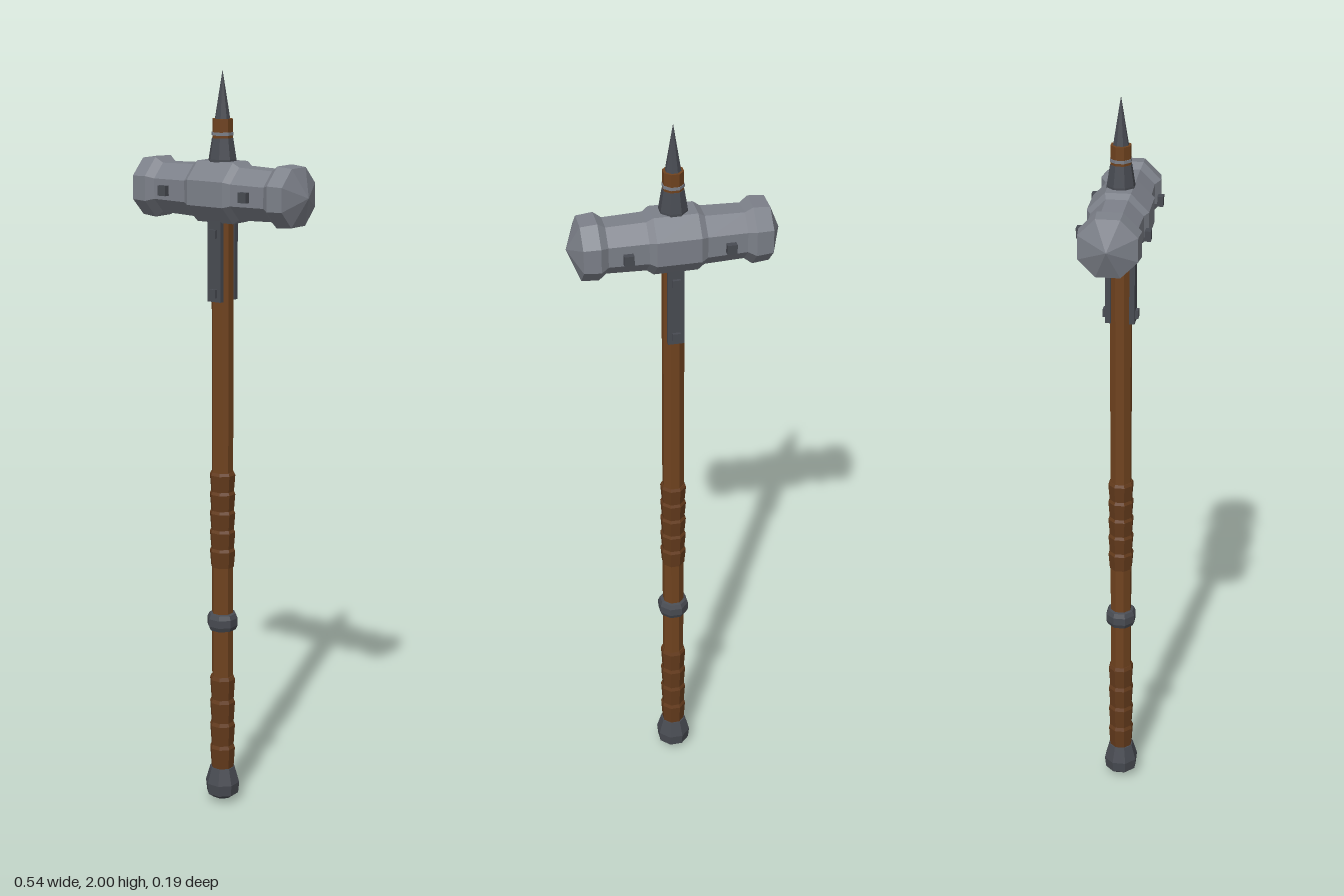
import * as THREE from 'three';

export function createModel() {
  const model = new THREE.Group();
  const material = (name, color) => {
    const m = new THREE.MeshStandardMaterial({ color, flatShading: true });
    m.name = name;
    return m;
  };
  const steel = material('steel', 0x7c8089);
  const iron = material('dark iron', 0x484b52);
  const wood = material('wood', 0x70431f);
  const leather = material('leather', 0x643b1c);

  const add = (name, geometry, mat, x = 0, y = 0, z = 0) => {
    const mesh = new THREE.Mesh(geometry, mat);
    mesh.name = name;
    mesh.position.set(x, y, z);
    model.add(mesh);
    return mesh;
  };
  // Octagonal turned part; profile is [distance to flat, height] from the bottom up
  const turned = (profile) => new THREE.LatheGeometry(
    profile.map(([r, y]) => new THREE.Vector2(r / Math.cos(Math.PI / 8), y)), 8, Math.PI / 8);

  // Shaft, running through the head
  add('shaft', turned([[0, 0.05], [0.027, 0.05], [0.027, 1.8], [0, 1.8]]), wood);

  // Wrapped grips with slightly flared bands
  const grip = (name, bottom, bands, step) => {
    const profile = [[0.026, bottom]];
    for (let i = 0; i < bands; i++) {
      const y = bottom + i * step;
      profile.push([0.029, y], [0.0325, y + step * 0.85], [0.029, y + step]);
    }
    profile.push([0.026, bottom + bands * step]);
    add(name, turned(profile), leather);
  };
  grip('lowerGrip', 0.10, 4, 0.067);
  grip('upperGrip', 0.68, 5, 0.053);

  // Pommel and middle ring
  add('pommel', turned([[0, 0], [0.026, 0.012], [0.041, 0.024], [0.044, 0.055],
    [0.032, 0.1], [0, 0.1]]), iron);
  add('middleRing', turned([[0.027, 0.5], [0.034, 0.502], [0.039, 0.514], [0.039, 0.535],
    [0.034, 0.547], [0.027, 0.549]]), iron);

  // Hammer head lying along x
  const half = [[0.078, 0.056], [0.067, 0.073], [0.064, 0.174], [0.078, 0.194],
    [0.074, 0.237], [0, 0.268]];
  const head = add('hammerHead', turned([
    ...half.map(([r, y]) => [r, -y]).reverse(), ...half]), steel, 0, 1.692, 0);
  head.rotation.z = -Math.PI / 2;

  // Straps, rivets and head studs on the front and back
  for (const side of [1, -1]) {
    add('strap', new THREE.BoxGeometry(0.042, 0.225, 0.014), iron, 0, 1.52, side * 0.031);
    for (const y of [1.43, 1.585]) {
      add('rivet', new THREE.BoxGeometry(0.02, 0.022, 0.01), iron, 0, y, side * 0.041);
    }
    for (const x of [-0.128, 0.128]) {
      add('headStud', new THREE.BoxGeometry(0.025, 0.026, 0.015), iron, x, 1.692, side * 0.085);
    }
  }

  // Collar, wooden tip with band, and spike
  add('collar', turned([[0, 1.75], [0.034, 1.75], [0.034, 1.775], [0.026, 1.828], [0, 1.828]]), iron);
  add('shaftTip', turned([[0, 1.82], [0.025, 1.82], [0.025, 1.877], [0, 1.877]]), wood);
  add('tipBand', turned([[0.024, 1.835], [0.0265, 1.835], [0.0265, 1.843], [0.024, 1.843]]), steel);
  add('spike', turned([[0, 1.875], [0.019, 1.875], [0, 2]]), iron);

  return model;
}
